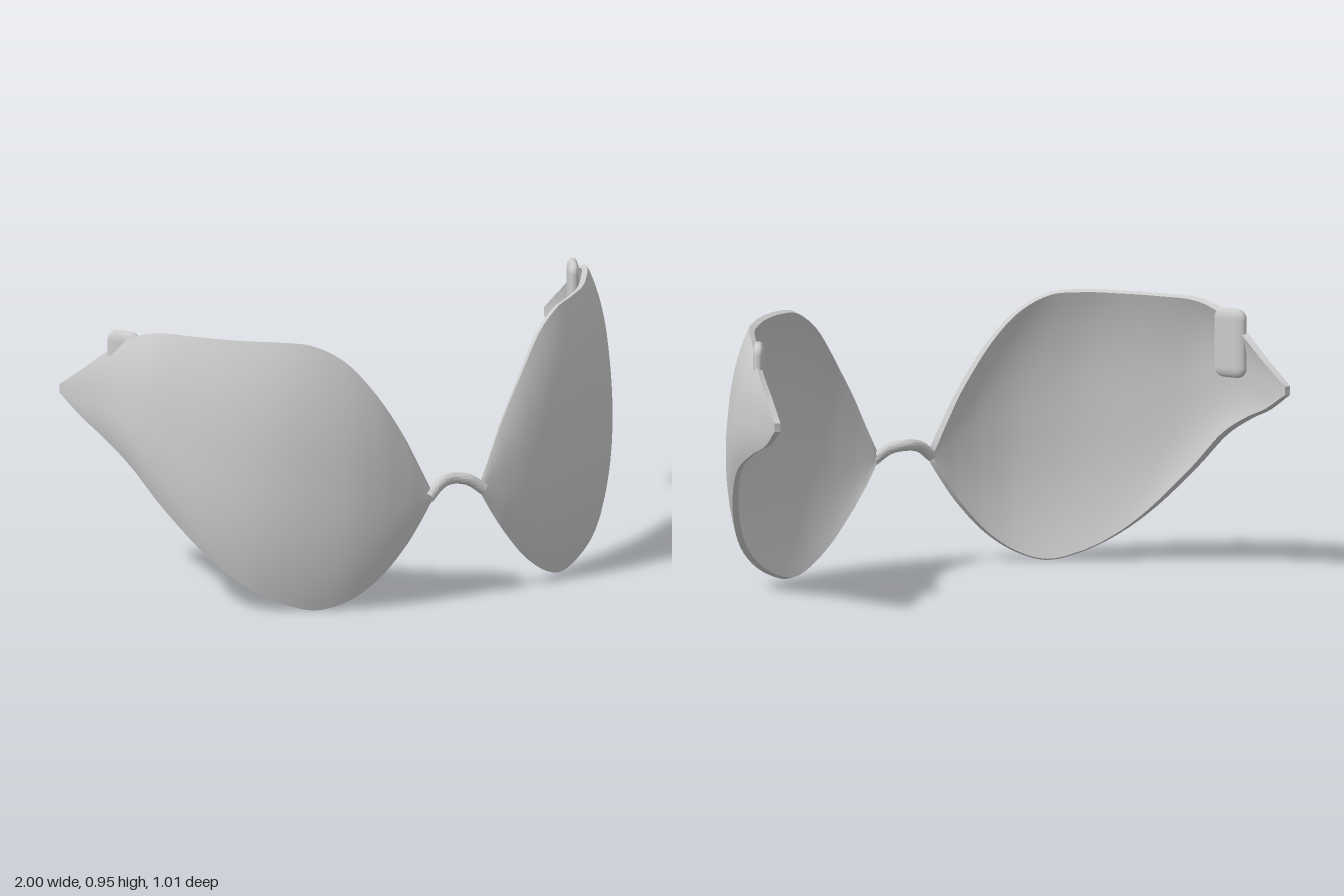
import * as THREE from 'three';
import { toCreasedNormals } from 'three/addons/utils/BufferGeometryUtils.js';
import { RoundedBoxGeometry } from 'three/addons/geometries/RoundedBoxGeometry.js';

const THICKNESS = 0.022;
const COLUMNS = 78;
const ROWS = 24;

// Guide rails of one lens, from the nose to the pointed temple
const rail = (points) => new THREE.CatmullRomCurve3(points.map((p) => new THREE.Vector3(...p)));

const topRail = rail([
  [0.1, 0.4, 0.48], [0.15, 0.5, 0.475], [0.2, 0.6, 0.465], [0.3, 0.76, 0.44], [0.4, 0.88, 0.395],
  [0.5, 0.938, 0.345], [0.6, 0.95, 0.28], [0.7, 0.95, 0.19], [0.8, 0.95, 0.06], [0.87, 0.947, -0.05],
  [0.91, 0.92, -0.15], [0.95, 0.845, -0.27], [0.975, 0.76, -0.39], [1, 0.685, -0.5],
]);
const middleRail = rail([
  [0.1, 0.38, 0.487], [0.15, 0.39, 0.49], [0.2, 0.4, 0.492], [0.3, 0.43, 0.487], [0.41, 0.46, 0.465],
  [0.52, 0.47, 0.42], [0.63, 0.5, 0.355], [0.735, 0.52, 0.265], [0.85, 0.56, 0.13], [0.93, 0.65, -0.01],
  [0.967, 0.69, -0.13], [0.98, 0.69, -0.27], [0.984, 0.67, -0.39], [1, 0.67, -0.5],
]);
const bottomRail = rail([
  [0.1, 0.36, 0.485], [0.15, 0.28, 0.48], [0.2, 0.21, 0.475], [0.3, 0.1, 0.455], [0.4, 0.03, 0.42],
  [0.5, 0, 0.37], [0.6, 0.025, 0.32], [0.7, 0.08, 0.26], [0.8, 0.175, 0.17], [0.9, 0.34, 0.015],
  [0.95, 0.47, -0.12], [0.97, 0.545, -0.27], [0.98, 0.59, -0.39], [1, 0.655, -0.5],
]);

// Point on the outer face: u runs nose to temple, v runs top to bottom
function outerPoint(u, v) {
  const top = topRail.getPoint(u);
  const bottom = bottomRail.getPoint(u);
  const bulge = middleRail.getPoint(u).sub(top.clone().lerp(bottom, 0.5));
  return top.lerp(bottom, v).addScaledVector(bulge, 1 - Math.abs(2 * v - 1) ** 2.5);
}

// Matching point on the inner face, one thickness behind the outer one
function innerPoint(u, v) {
  const e = 0.004;
  const clamp = (n) => Math.min(1, Math.max(0, n));
  const along = outerPoint(clamp(u + e), v).sub(outerPoint(clamp(u - e), v));
  const down = outerPoint(u, clamp(v + e)).sub(outerPoint(u, clamp(v - e)));
  const normal = down.cross(along).normalize();
  return outerPoint(u, v).addScaledVector(normal, -THICKNESS);
}

// Closed shell: each column is a ring down the outer face and back up the inner face
function lensGeometry(side) {
  const positions = [];
  const indices = [];
  const ring = 2 * (ROWS + 1);
  for (let i = 0; i <= COLUMNS; i++) {
    for (let k = 0; k < ring; k++) {
      const u = i / COLUMNS;
      const p = k <= ROWS ? outerPoint(u, k / ROWS) : innerPoint(u, (ring - 1 - k) / ROWS);
      positions.push(side * p.x, p.y, p.z);
    }
  }
  const triangle = (a, b, c) => (side > 0 ? indices.push(a, b, c) : indices.push(a, c, b));
  const quad = (a, b, c, d) => {
    triangle(a, b, c);
    triangle(a, c, d);
  };
  for (let i = 0; i < COLUMNS; i++) {
    for (let k = 0; k < ring; k++) {
      const next = (k + 1) % ring;
      quad(i * ring + k, i * ring + next, (i + 1) * ring + next, (i + 1) * ring + k);
    }
  }
  // End faces at the nose and the temple
  const last = COLUMNS * ring;
  for (let k = 0; k < ROWS; k++) {
    const back = ring - 1 - k;
    quad(k, back, back - 1, k + 1);
    quad(last + k, last + k + 1, last + back - 1, last + back);
  }
  const geometry = new THREE.BufferGeometry();
  geometry.setAttribute('position', new THREE.Float32BufferAttribute(positions, 3));
  geometry.setIndex(indices);
  return toCreasedNormals(geometry, 0.7);
}

// Round arched bar with flat ends
function bridgeGeometry() {
  const path = rail([
    [-0.112, 0.374, 0.485], [-0.06, 0.411, 0.472], [0, 0.422, 0.458],
    [0.06, 0.411, 0.472], [0.112, 0.374, 0.485],
  ]);
  const section = new THREE.Shape().absarc(0, 0, 0.02, 0, Math.PI * 2);
  const geometry = new THREE.ExtrudeGeometry(section, { steps: 28, curveSegments: 16, extrudePath: path });
  return toCreasedNormals(geometry, 0.7);
}

export function createModel() {
  const model = new THREE.Group();
  model.name = 'wraparoundEyewear';
  const grey = new THREE.MeshStandardMaterial({ color: 0xcccccc });
  grey.name = 'light grey';

  const add = (geometry, name) => {
    const mesh = new THREE.Mesh(geometry, grey);
    mesh.name = name;
    model.add(mesh);
    return mesh;
  };

  for (const [side, label] of [[1, 'left'], [-1, 'right']]) {
    add(lensGeometry(side), `${label}Lens`);

    // Soft pad on the inside of the temple
    const padGeometry = new RoundedBoxGeometry(0.08, 0.24, 0.13, 5, 0.036).scale(0.5, 1, 1);
    const pad = add(padGeometry, `${label}TemplePad`);
    pad.position.set(side * 0.915, 0.805, -0.213);
    pad.rotation.y = side * -0.48;
  }

  add(bridgeGeometry(), 'noseBridge');
  return model;
}
